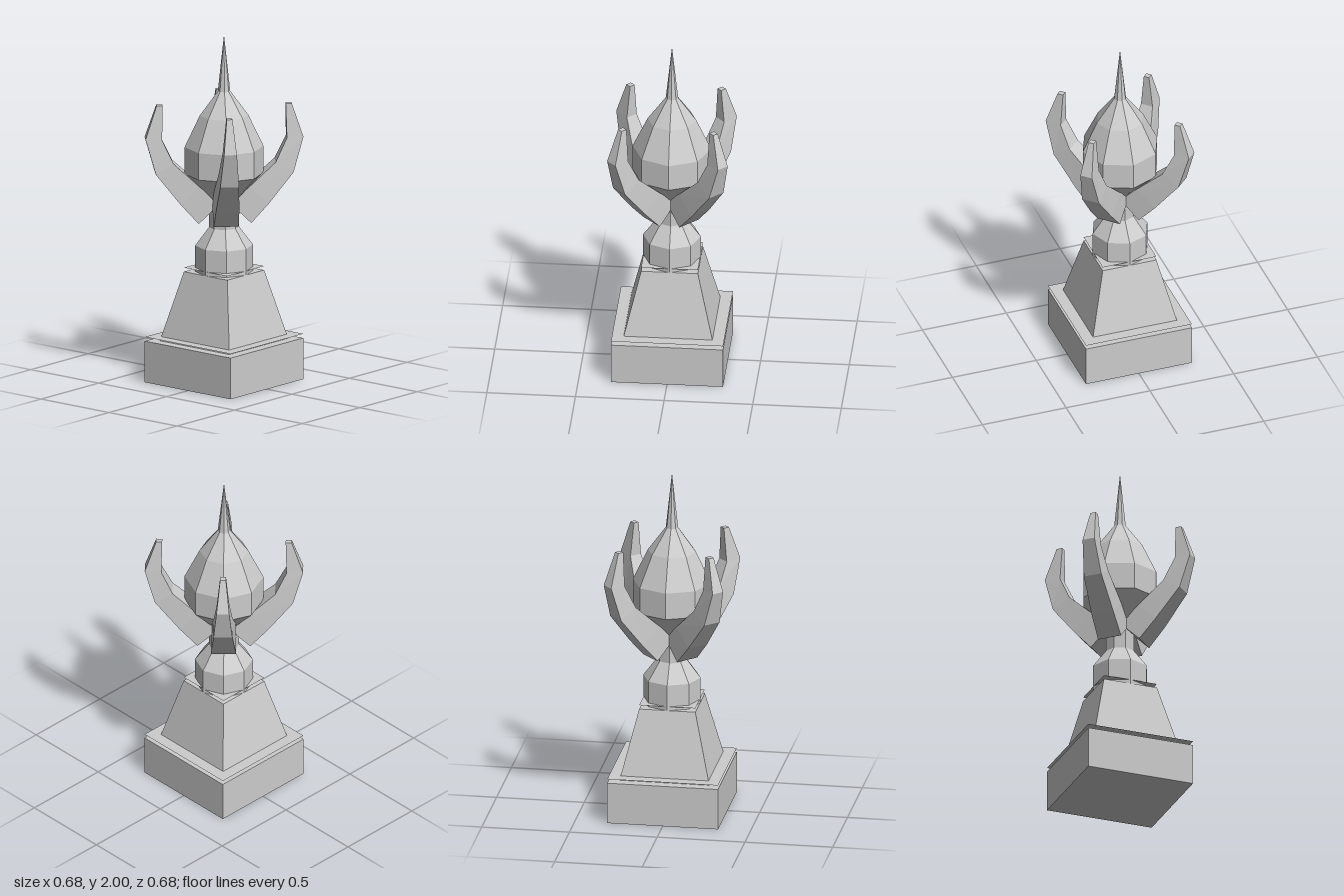
import * as THREE from 'three';

const gray = new THREE.MeshStandardMaterial({ color: 0xcccccc });
gray.name = 'gray';
const sheetGray = new THREE.MeshStandardMaterial({ color: 0xcccccc, side: THREE.DoubleSide });
sheetGray.name = 'gray sheet';

// Faceted mesh: every triangle gets its own normal
function facet(name, geometry, material = gray) {
  const g = geometry.index ? geometry.toNonIndexed() : geometry;
  g.computeVertexNormals();
  const mesh = new THREE.Mesh(g, material);
  mesh.name = name;
  return mesh;
}

// Eight-sided turned part from [radius, height] pairs, bottom to top
function turned(name, profile) {
  const points = profile.map(([r, y]) => new THREE.Vector2(r, y));
  return facet(name, new THREE.LatheGeometry(points, 8));
}

// Thin square ledge
function ledge(name, half, y) {
  const g = new THREE.PlaneGeometry(half * 2, half * 2).rotateX(-Math.PI / 2).translate(0, y, 0);
  return facet(name, g, sheetGray);
}

// Claw sections: outer radius, outer y, inner radius, inner y, half width
const clawSections = [
  [0.148, 0.925, 0.03, 1.04, 0.07],
  [0.248, 1.035, 0.14, 1.135, 0.066],
  [0.388, 1.21, 0.288, 1.27, 0.053],
  [0.445, 1.41, 0.352, 1.405, 0.036],
  [0.381, 1.6, 0.347, 1.6, 0.016],
];

function clawGeometry() {
  const pos = [];
  const index = [];
  for (const [ro, yo, ri, yi, h] of clawSections) {
    pos.push(ro, yo, h, ro, yo, -h, ri, yi, -h, ri, yi, h);
  }
  for (let i = 0; i < clawSections.length - 1; i++) {
    for (let j = 0; j < 4; j++) {
      const a = i * 4 + j;
      const b = i * 4 + ((j + 1) % 4);
      index.push(a, b, b + 4, a, b + 4, a + 4);
    }
  }
  const t = (clawSections.length - 1) * 4;
  index.push(0, 2, 1, 0, 3, 2, t, t + 1, t + 2, t, t + 2, t + 3);
  const g = new THREE.BufferGeometry();
  g.setAttribute('position', new THREE.Float32BufferAttribute(pos, 3));
  g.setIndex(index);
  return g;
}

export function createModel() {
  const model = new THREE.Group();
  model.name = 'clawPedestal';

  // Square base with a tapered plinth, each topped by a raised ledge
  model.add(facet('base', new THREE.BoxGeometry(0.632, 0.238, 0.632).translate(0, 0.119, 0)));
  model.add(ledge('baseLedge', 0.316, 0.262));
  const plinth = new THREE.CylinderGeometry(0.16 * Math.SQRT2, 0.256 * Math.SQRT2, 0.397, 4)
    .rotateY(Math.PI / 4).translate(0, 0.4365, 0);
  model.add(facet('plinth', plinth));
  model.add(ledge('plinthLedge', 0.16, 0.658));

  // Octagonal collar and neck
  model.add(turned('neck', [
    [0, 0.635], [0.163, 0.635], [0.163, 0.785], [0.085, 0.89], [0.085, 1.1],
  ]));

  // Pointed bud
  model.add(turned('bud', [
    [0, 1.04], [0.085, 1.05], [0.222, 1.2], [0.222, 1.355],
    [0.137, 1.535], [0.035, 1.675], [0, 2],
  ]));

  // Four claws on the diagonals
  const claw = clawGeometry();
  for (let i = 0; i < 4; i++) {
    const mesh = facet('claw' + (i + 1), claw);
    mesh.rotation.y = Math.PI / 4 + (i * Math.PI) / 2;
    model.add(mesh);
  }
  return model;
}
